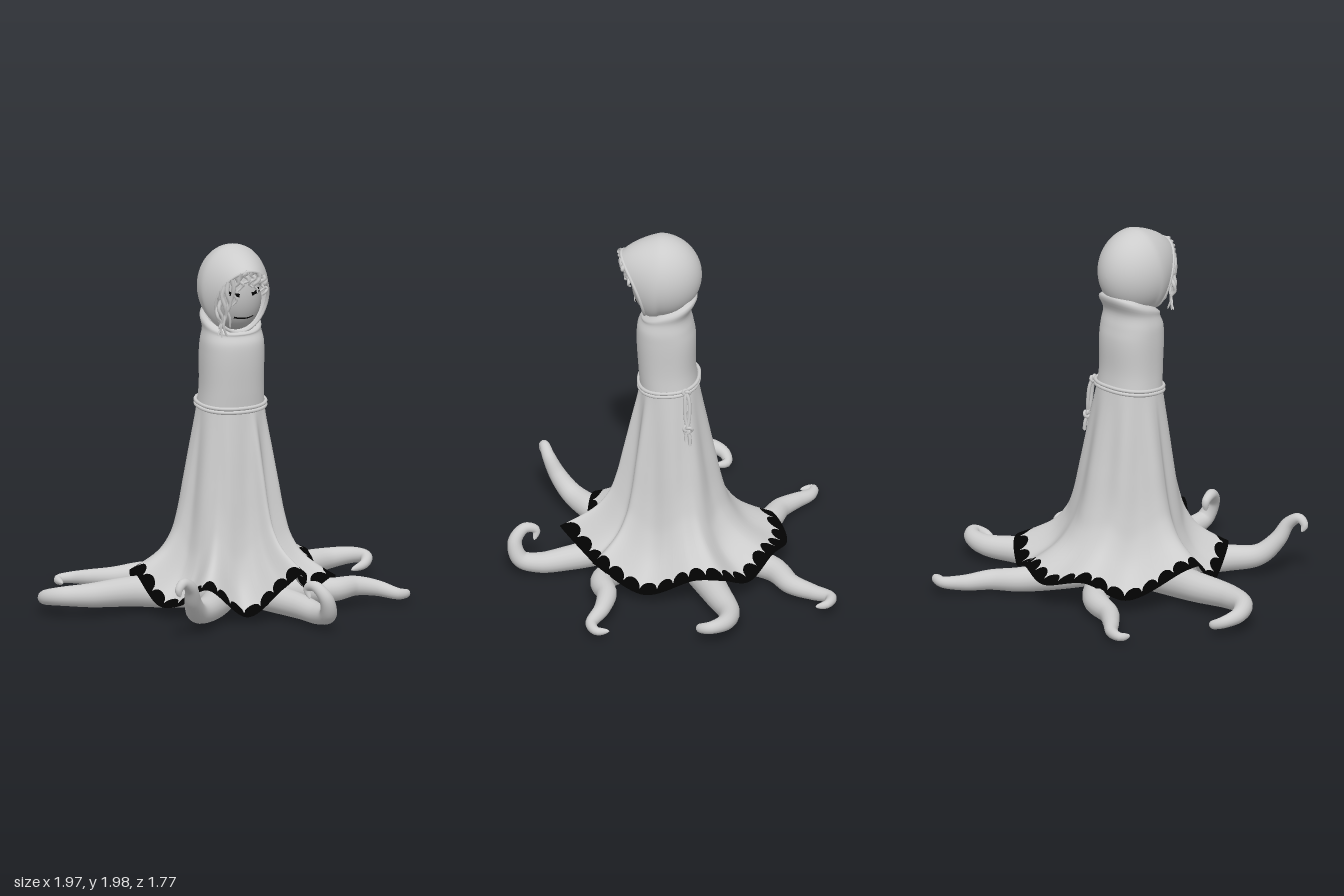
import * as THREE from 'three';

const V = (x, y, z) => new THREE.Vector3(x, y, z);
const TAU = Math.PI * 2;

// Slightly squared cosine, for body sections fuller than an ellipse
const full = c => Math.sign(c) * Math.abs(c) ** 0.87;

// Surface swept from a point rule; u wraps around, v runs along
function loft(fn, nu, nv) {
  const pos = [], idx = [];
  for (let j = 0; j <= nv; j++)
    for (let i = 0; i < nu; i++) pos.push(...fn(i / nu, j / nv).toArray());
  for (let j = 0; j < nv; j++)
    for (let i = 0; i < nu; i++) {
      const k = (i + 1) % nu, a = j * nu + i, b = j * nu + k, c = a + nu, d = b + nu;
      idx.push(a, c, b, b, c, d);
    }
  const g = new THREE.BufferGeometry();
  g.setAttribute('position', new THREE.Float32BufferAttribute(pos, 3));
  g.setIndex(idx);
  g.computeVertexNormals();
  return g;
}

// Tube that thins from r0 to r1 (later for a higher power) and ends in a rounded tip
function taperTube(points, r0, r1, segs = 60, sides = 14, power = 1) {
  const curve = new THREE.CatmullRomCurve3(points.map(p => V(...p)));
  const g = new THREE.TubeGeometry(curve, segs, 1, sides);
  const pos = g.attributes.position, v = V(0, 0, 0);
  for (let i = 0; i <= segs; i++) {
    const u = i / segs, c = curve.getPointAt(u), e = Math.max(0, (u - 0.95) / 0.05);
    const r = (r0 + (r1 - r0) * u ** power) * Math.sqrt(Math.max(0, 1 - e * e));
    for (let j = 0; j <= sides; j++) {
      const k = i * (sides + 1) + j;
      v.fromBufferAttribute(pos, k).sub(c).multiplyScalar(r).add(c);
      pos.setXYZ(k, v.x, Math.max(0.004, v.y), v.z);
    }
  }
  return g;
}

export function createModel() {
  const group = new THREE.Group();
  const mat = (name, color, side = THREE.FrontSide) => {
    const m = new THREE.MeshStandardMaterial({ color, side });
    m.name = name;
    return m;
  };
  const cloth = mat('paleGrey', 0xcccccc, THREE.DoubleSide);
  const skin = mat('faceGrey', 0xb8b8b8);
  const black = mat('black', 0x020202, THREE.DoubleSide);
  const add = (name, geo, m) => {
    const mesh = new THREE.Mesh(geo, m);
    mesh.name = name;
    group.add(mesh);
    return mesh;
  };

  // Skirt: waist section flaring to a wavy hem lifted over each tentacle
  const hem = new THREE.CatmullRomCurve3([
    [0.23, 0.28, 0.61], [0.33, 0.13, 0.44], [0.49, 0.2, 0.41], [0.55, 0.06, 0.15],
    [0.59, 0.18, -0.13], [0.6, 0.19, -0.27], [0.45, 0.1, -0.41], [0.27, 0.16, -0.52],
    [0.06, 0.13, -0.59], [-0.16, 0.17, -0.5], [-0.33, 0.08, -0.35], [-0.49, 0.22, -0.06],
    [-0.5, 0.22, 0.04], [-0.43, 0.07, 0.18], [-0.36, 0.09, 0.31], [-0.27, 0.2, 0.46],
    [-0.05, 0.04, 0.5], [0.13, 0.19, 0.56],
  ].map(p => V(...p)), true);
  const flare = new THREE.CubicInterpolant([0, 0.22, 0.44, 0.67, 0.78, 0.89, 0.95, 1],
    [0, 0.09, 0.18, 0.29, 0.38, 0.57, 0.78, 1], 1);
  const skirtPoint = (u, t) => {
    const h = hem.getPointAt(u), a = Math.atan2(h.x - 0.05, h.z - 0.04);
    const s = flare.evaluate(t)[0];
    const fold = 0.01 * Math.sin(Math.PI * t) * Math.cos(TAU * 9 * u);
    const wx = 0.05 + 0.18 * full(Math.sin(a)), wz = 0.04 + 0.155 * full(Math.cos(a));
    return V(wx + (h.x - wx) * s + fold * Math.sin(a), 1.1 + (h.y - 1.1) * t,
      wz + (h.z - wz) * s + fold * Math.cos(a));
  };
  const laceTop = u => 1 - 0.015 - 0.025 * Math.sqrt(Math.abs(Math.sin(Math.PI * 40 * u)));
  add('skirt', loft((u, v) => skirtPoint(u, laceTop(u) * v), 480, 40), cloth);
  add('laceTrim', loft((u, v) => skirtPoint(u, laceTop(u) + (1 - laceTop(u)) * v), 480, 3), black);

  // Bodice with a slanted, flaring collar: y, centre z, radius x, radius z, tilt
  const rings = [
    [1.1, 0.04, 0.18, 0.155, 0], [1.2, 0.05, 0.172, 0.153, 0], [1.4, 0.055, 0.172, 0.157, 0],
    [1.46, 0.058, 0.169, 0.148, 0.005], [1.52, 0.055, 0.158, 0.132, 0.025],
    [1.575, 0.035, 0.157, 0.147, 0.06], [1.59, 0.035, 0.14, 0.125, 0.06],
  ];
  const bodice = new THREE.CubicInterpolant(rings.map(r => r[0]), rings.flat(), 5);
  add('bodice', loft((u, v) => {
    const [y, cz, rx, rz, tilt] = bodice.evaluate(1.59 - 0.49 * v);
    const a = u * TAU;
    return V(0.05 + rx * full(Math.sin(a)), y - tilt * Math.cos(a), cz + rz * full(Math.cos(a)));
  }, 64, 40), cloth);

  // Hood: egg with a slanted, swept-back face opening and a rolled rim
  const open = 0.895;
  const hoodPoint = (phi, th) => {
    const f = Math.max(0, Math.cos(th)), yr = Math.sin(th) * Math.cos(phi);
    const sweep = Math.sin(th) ** 2 * Math.sin(phi) ** 2;
    return V(0.047 + 0.19 * Math.sin(th) * Math.sin(phi), 1.75 + 0.23 * yr - 0.085 * f,
      0.09 + 0.225 * Math.cos(th) + 0.13 * yr * f - 0.09 * sweep * f);
  };
  add('hood', loft((u, v) => hoodPoint(-u * TAU, open + (Math.PI - open) * v), 64, 32), cloth);
  const rim = [...Array(32).keys()].map(i => hoodPoint(i / 32 * TAU, open));
  add('hoodRim', new THREE.TubeGeometry(new THREE.CatmullRomCurve3(rim, true), 80, 0.009, 8, true), cloth);

  // Face with painted eyes, lashes and mouth
  const face = add('face', new THREE.SphereGeometry(1, 40, 28), skin);
  face.scale.set(0.139, 0.175, 0.138);
  face.position.set(0.052, 1.695, 0.1);
  const onFace = (x, y) => [x, y,
    0.101 + 0.138 * Math.sqrt(Math.max(0, 1 - ((x - 0.052) / 0.139) ** 2 - ((y - 1.695) / 0.175) ** 2))];
  const stroke = (name, pts, r) =>
    add(name, taperTube(pts.map(p => onFace(...p)), r, r * 0.5, 16, 6), black);
  for (const s of [-1, 1]) {
    const x = d => 0.052 + s * d;
    stroke('eye', [[x(0.033), 1.734], [x(0.06), 1.738], [x(0.098), 1.758]], 0.01);
    stroke('lash', [[x(0.065), 1.738], [x(0.085), 1.734], [x(0.1), 1.742]], 0.005);
  }
  stroke('mouth', [[-0.005, 1.612], [0.025, 1.606], [0.055, 1.604], [0.085, 1.606], [0.11, 1.613]], 0.005);

  // Wavy hair strands hanging from the rim: angle, length
  [[-1.35, 0.18], [-1.15, 0.25], [-0.95, 0.29], [-0.8, 0.31], [-0.65, 0.28], [-0.5, 0.17],
    [-0.3, 0.1], [-0.1, 0.08], [0.12, 0.09], [0.35, 0.12], [0.6, 0.09], [0.85, 0.09]]
    .forEach(([phi, len], i) => {
      const p = hoodPoint(phi, open), z0 = p.z + 0.01, zEnd = Math.max(z0 - 0.25 * len, 0.22);
      const pts = [0, 1, 2, 3, 4, 5].map(k => [p.x + 0.014 * Math.sin(k * 1.9 + i * 1.3) * Math.min(1, k),
        p.y - len * k / 5, z0 + (zEnd - z0) * k / 5 + 0.006 * Math.cos(k * 2 + i)]);
      add('hairStrand', taperTube(pts, 0.013, 0.005, 30, 7), cloth);
    });

  // Double rope belt with a knot and two hanging cords
  for (const dy of [0, 0.02]) {
    const pts = [...Array(32).keys()].map(i => {
      const a = i / 32 * TAU;
      return V(0.05 + 0.186 * full(Math.sin(a)), 1.1 + dy - 0.015 * Math.cos(a), 0.04 + 0.161 * full(Math.cos(a)));
    });
    add('beltRope', new THREE.TubeGeometry(new THREE.CatmullRomCurve3(pts, true), 80, 0.01, 8, true), cloth);
  }
  const knot = (y, x, z, r) => {
    const k = add('ropeKnot', new THREE.TorusKnotGeometry(r, 0.009, 48, 6), cloth);
    k.position.set(x, y, z);
    k.rotation.y = Math.PI / 2;
  };
  knot(1.12, 0.222, -0.06, 0.013);
  knot(0.915, 0.256, -0.07, 0.016);
  for (const s of [-1, 1])
    add('hangingCord', taperTube([[0.222, 1.13, -0.06], [0.234, 1.08, -0.066 + s * 0.011],
      [0.247, 0.98, -0.068 + s * 0.01], [0.257, 0.915, -0.07], [0.263, 0.87, -0.072 + s * 0.01],
      [0.269, 0.83 + s * 0.012, -0.073 + s * 0.01]], 0.01, 0.01, 40, 7), cloth);

  // Seven tentacles spreading from under the skirt: root radius, then path
  const tentacles = {
    left: [0.098, [-0.25, 0.1, 0.02], [-0.5, 0.115, 0], [-0.75, 0.12, 0.01], [-0.89, 0.12, -0.03],
      [-0.945, 0.1, -0.12], [-0.92, 0.075, -0.2], [-0.86, 0.05, -0.22], [-0.83, 0.045, -0.15]],
    backLeft: [0.085, [-0.08, 0.09, -0.3], [-0.22, 0.08, -0.47], [-0.38, 0.065, -0.53], [-0.48, 0.055, -0.61],
      [-0.56, 0.045, -0.68], [-0.63, 0.04, -0.69], [-0.635, 0.03, -0.62]],
    backRight: [0.085, [0.17, 0.09, -0.3], [0.29, 0.085, -0.53], [0.42, 0.075, -0.63], [0.49, 0.07, -0.75],
      [0.56, 0.08, -0.85], [0.63, 0.08, -0.83], [0.625, 0.06, -0.77]],
    right: [0.096, [0.3, 0.1, -0.12], [0.6, 0.1, -0.25], [0.78, 0.1, -0.32], [0.9, 0.11, -0.3],
      [0.955, 0.11, -0.23], [0.92, 0.085, -0.175], [0.85, 0.055, -0.19]],
    frontRight: [0.085, [0.28, 0.1, 0.22], [0.5, 0.11, 0.37], [0.64, 0.11, 0.34], [0.76, 0.09, 0.36],
      [0.86, 0.06, 0.41], [0.92, 0.05, 0.38], [0.91, 0.045, 0.31]],
    front: [0.085, [0.13, 0.1, 0.3], [0.23, 0.085, 0.56], [0.27, 0.075, 0.72], [0.275, 0.1, 0.82],
      [0.25, 0.19, 0.85], [0.21, 0.25, 0.8], [0.19, 0.23, 0.74], [0.2, 0.17, 0.75]],
    frontLeft: [0.09, [-0.1, 0.1, 0.25], [-0.26, 0.1, 0.46], [-0.38, 0.12, 0.58], [-0.44, 0.2, 0.66],
      [-0.475, 0.29, 0.71], [-0.53, 0.325, 0.735], [-0.56, 0.29, 0.745], [-0.545, 0.25, 0.735]],
  };
  for (const [name, [radius, ...path]] of Object.entries(tentacles))
    add(name + 'Tentacle', taperTube([[0.05, 0.1, 0], ...path], radius, 0.015, 90, 18, 1.9), cloth);

  return group;
}
